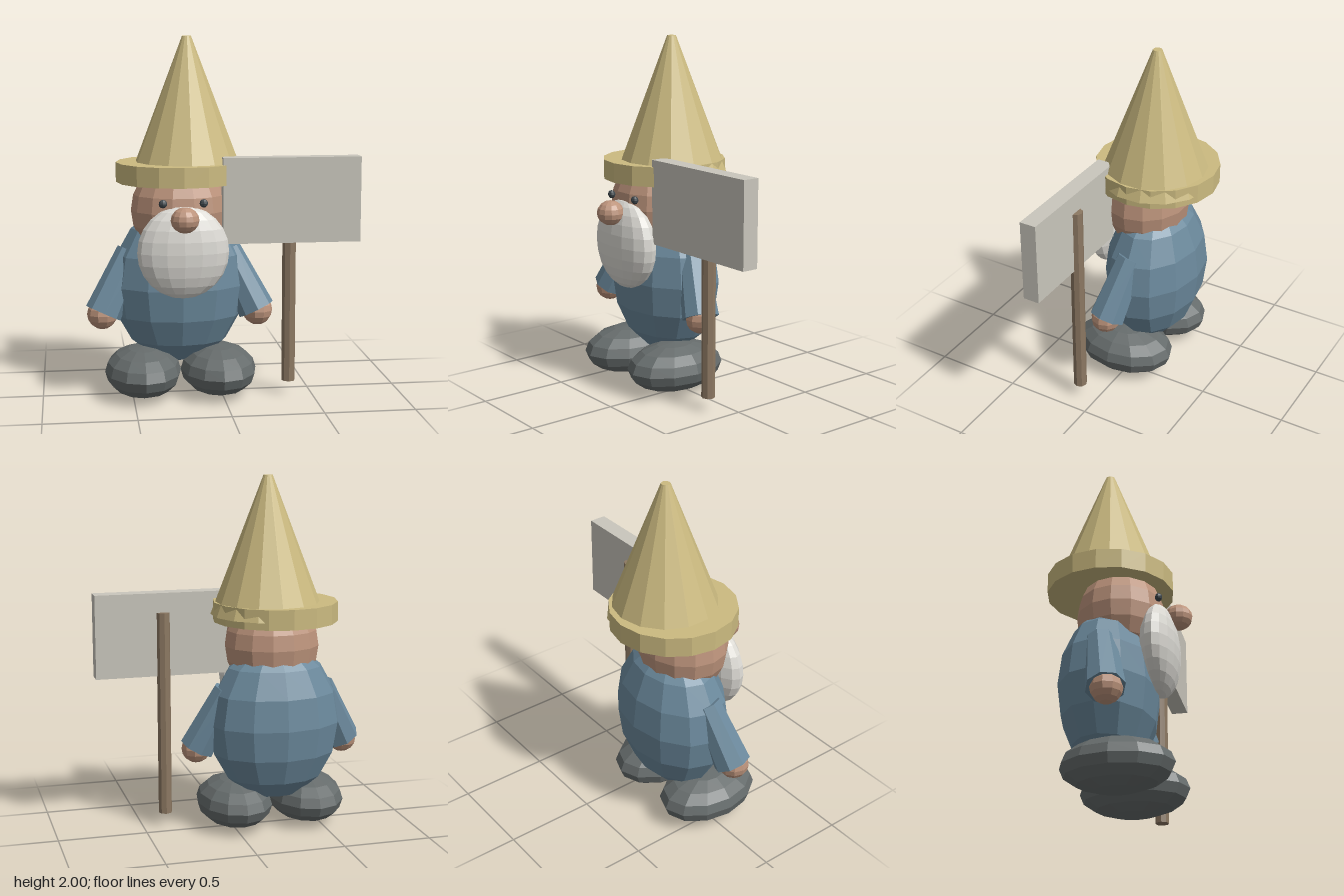
import * as THREE from 'three';

const mat = (color) => new THREE.MeshStandardMaterial({ color, flatShading: true });

export function createModel() {
  const model = new THREE.Group();
  const cx = -0.23; // centre line of the figure
  const cloth = mat(0x6b899c), skin = mat(0xbd947c), straw = mat(0xcbba80);
  const dark = mat(0x666c6c), white = mat(0xdcdad4), eyeMat = mat(0x3f474c);
  const board = mat(0xc9c6bc), wood = mat(0x8c7862);

  const add = (name, geometry, material, x, y, z) => {
    const mesh = new THREE.Mesh(geometry, material);
    mesh.name = name;
    mesh.position.set(x, y, z);
    model.add(mesh);
    return mesh;
  };
  const ball = (name, material, pos, radii, w = 12, h = 8) => {
    const geometry = new THREE.SphereGeometry(1, w, h).scale(...radii);
    return add(name, geometry, material, ...pos);
  };

  // Body, head and face
  ball('body', cloth, [cx, 0.62, -0.055], [0.38, 0.45, 0.27]);
  ball('head', skin, [cx, 1.05, 0.01], [0.27, 0.28, 0.24], 14, 10);
  ball('beard', white, [cx, 0.845, 0.22], [0.25, 0.255, 0.105], 16, 12);
  ball('nose', skin, [cx, 1.035, 0.322], [0.077, 0.07, 0.077], 12, 8);

  // Hat: flat brim and a slightly offset cone
  add('hatBrim', new THREE.CylinderGeometry(0.348, 0.348, 0.11, 16), straw, cx, 1.255, -0.053);
  add('hatCone', new THREE.CylinderGeometry(0.025, 0.315, 0.76, 14), straw, -0.18, 1.62, -0.07);

  // Paired parts, mirrored about the centre line
  for (const [side, s] of [['left', 1], ['right', -1]]) {
    ball(side + 'Eye', eyeMat, [cx + s * 0.11, 1.112, 0.236], [0.023, 0.023, 0.02], 8, 6);
    ball(side + 'Shoe', dark, [cx + s * 0.212, 0.144, 0.035], [0.213, 0.14, 0.298]);
    ball(side + 'Hand', skin, [cx + s * 0.435, 0.473, 0.03], [0.085, 0.085, 0.085], 10, 8);

    const top = new THREE.Vector3(cx + s * 0.27, 0.81, -0.04);
    const end = new THREE.Vector3(cx + s * 0.43, 0.475, 0.025);
    const axis = top.clone().sub(end);
    const mid = top.clone().add(end).multiplyScalar(0.5);
    const sleeve = new THREE.CylinderGeometry(0.08, 0.104, axis.length(), 8);
    const arm = add(side + 'Arm', sleeve, cloth, mid.x, mid.y, mid.z);
    arm.quaternion.setFromUnitVectors(new THREE.Vector3(0, 1, 0), axis.normalize());
  }

  // Sign on a pole
  add('signBoard', new THREE.BoxGeometry(0.76, 0.47, 0.094), board, 0.372, 1.115, 0.152);
  add('signPole', new THREE.CylinderGeometry(0.038, 0.038, 1.16, 8), wood, 0.37, 0.66, 0.108);

  return model;
}
